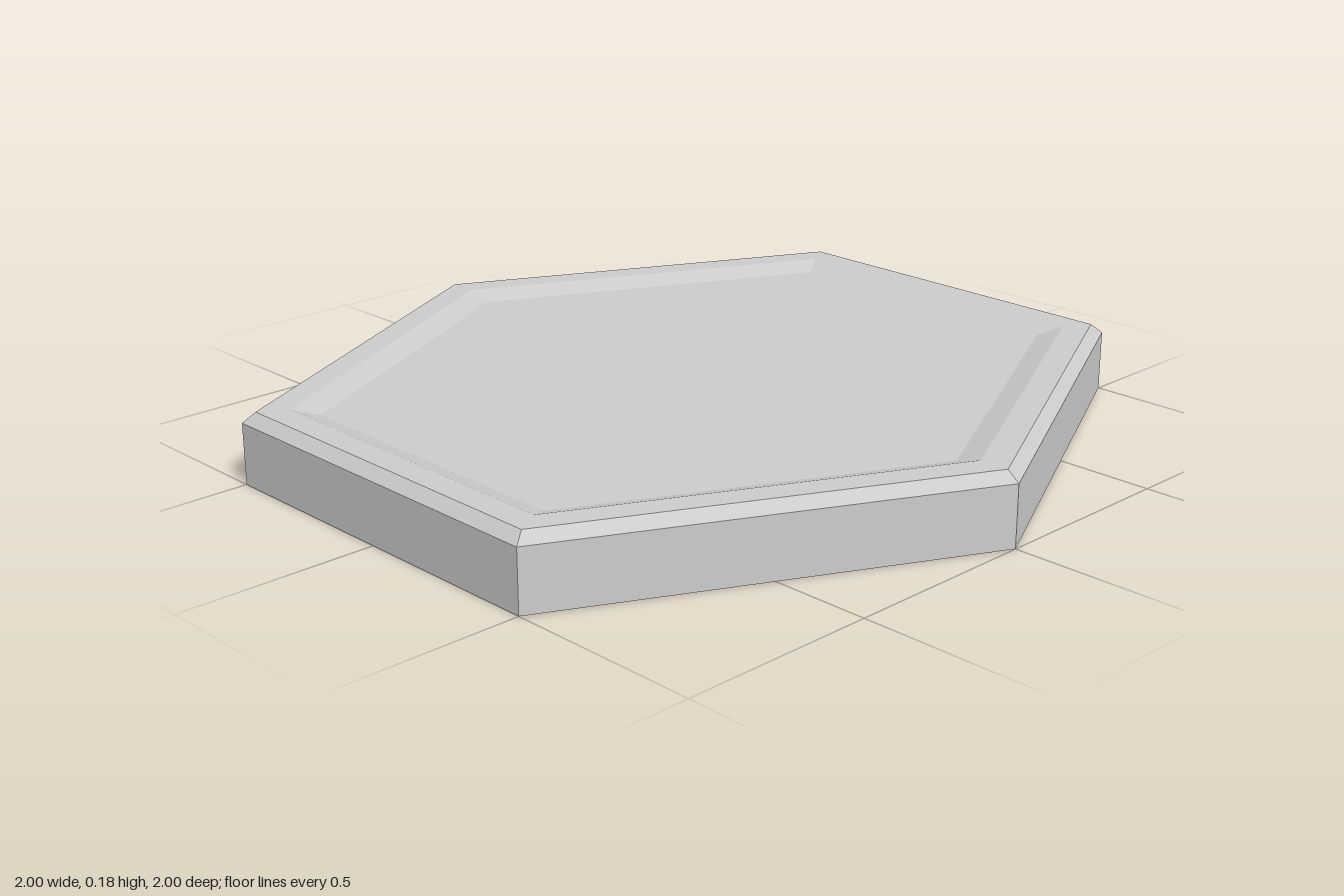
import * as THREE from 'three';

// Corners of the hexagon moved inwards by d (measured square to each side), at height y
function ring(d, y) {
  const tip = 1 - d * Math.sqrt(1.25);
  const x = 1 - d;
  const z = tip - x / 2;
  return [[0, tip], [x, z], [x, -z], [0, -tip], [-x, -z], [-x, z]]
    .map(([px, pz]) => new THREE.Vector3(px, y, pz));
}

// Flat-shaded geometry from a list of corner triples
function facets(triangles) {
  const geometry = new THREE.BufferGeometry().setFromPoints(triangles.flat());
  geometry.computeVertexNormals();
  return geometry;
}

// Band of faces between two rings, the first one being the outer or lower one
function band(a, b) {
  const triangles = [];
  for (let i = 0; i < 6; i++) {
    const j = (i + 1) % 6;
    triangles.push([a[i], a[j], b[j]], [a[i], b[j], b[i]]);
  }
  return facets(triangles);
}

// Flat hexagonal face, looking up or down
function cap(r, up) {
  const triangles = [];
  for (let i = 1; i < 5; i++) {
    triangles.push(up ? [r[0], r[i], r[i + 1]] : [r[0], r[i + 1], r[i]]);
  }
  return facets(triangles);
}

export function createModel() {
  const group = new THREE.Group();
  group.name = 'hexagonalTile';
  const material = new THREE.MeshStandardMaterial({ color: 0xcccccc, flatShading: true });

  const base = ring(0, 0);
  const shoulder = ring(0, 0.155);
  const rimOuter = ring(0.028, 0.18);
  const rimInner = ring(0.095, 0.18);
  const floor = ring(0.155, 0.16);

  const parts = {
    underside: cap(base, false),
    sides: band(base, shoulder),
    outerBevel: band(shoulder, rimOuter),
    rim: band(rimOuter, rimInner),
    recessSlope: band(rimInner, floor),
    recessFloor: cap(floor, true),
  };
  for (const [name, geometry] of Object.entries(parts)) {
    const mesh = new THREE.Mesh(geometry, material);
    mesh.name = name;
    group.add(mesh);
  }
  return group;
}
